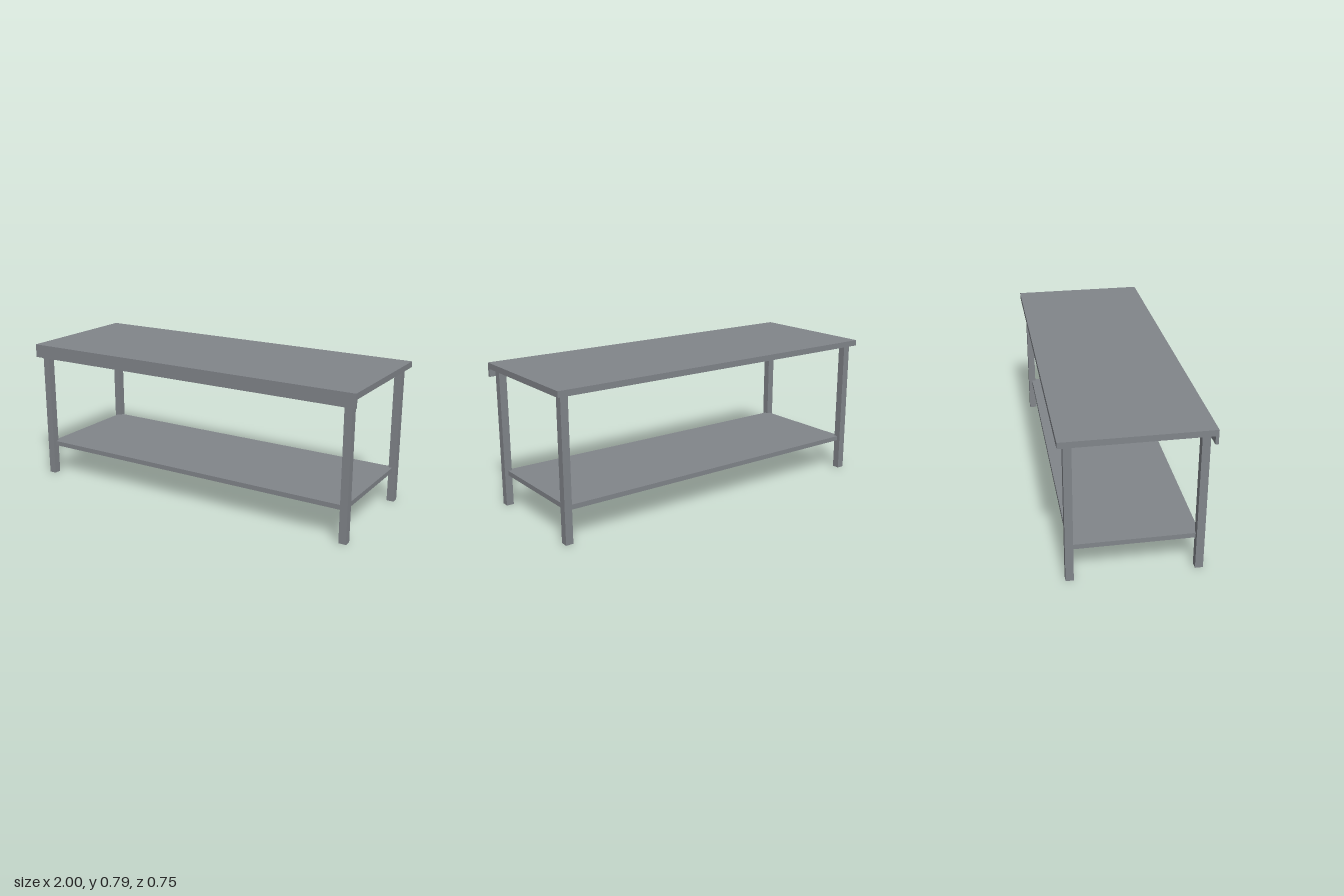
import * as THREE from 'three';

const material = new THREE.MeshStandardMaterial({ color: 0x81858a });

function addBox(parent, name, size, position) {
  const mesh = new THREE.Mesh(new THREE.BoxGeometry(...size), material);
  mesh.name = name;
  mesh.position.set(...position);
  parent.add(mesh);
}

export function createModel() {
  const table = new THREE.Group();
  table.name = 'workTable';

  const topY = 0.792, underY = 0.76, lipY = 0.717;
  const halfDepth = 0.375, lip = 0.016;
  const legSize = 0.041, legX = 0.952, legZ = 0.3255;

  // Table top with a front lip: L-shaped profile (x = depth, y = height) run along the length
  const profile = new THREE.Shape([
    [-halfDepth, underY], [halfDepth - lip, underY], [halfDepth - lip, lipY],
    [halfDepth, lipY], [halfDepth, topY], [-halfDepth, topY],
  ].map(([z, y]) => new THREE.Vector2(z, y)));
  const topGeometry = new THREE.ExtrudeGeometry(profile, { depth: 2, bevelEnabled: false });
  topGeometry.translate(0, 0, -1).rotateY(-Math.PI / 2);
  const top = new THREE.Mesh(topGeometry, material);
  top.name = 'tableTop';
  table.add(top);

  // Four square legs
  for (const [side, sx] of [['Left', 1], ['Right', -1]]) {
    for (const [end, sz] of [['front', 1], ['back', -1]]) {
      addBox(table, `${end}${side}Leg`, [legSize, underY, legSize], [sx * legX, underY / 2, sz * legZ]);
    }
  }

  // Lower shelf, let into the legs up to their centre lines
  addBox(table, 'shelf', [2 * legX, 0.026, 2 * legZ], [0, 0.184, 0]);

  return table;
}
